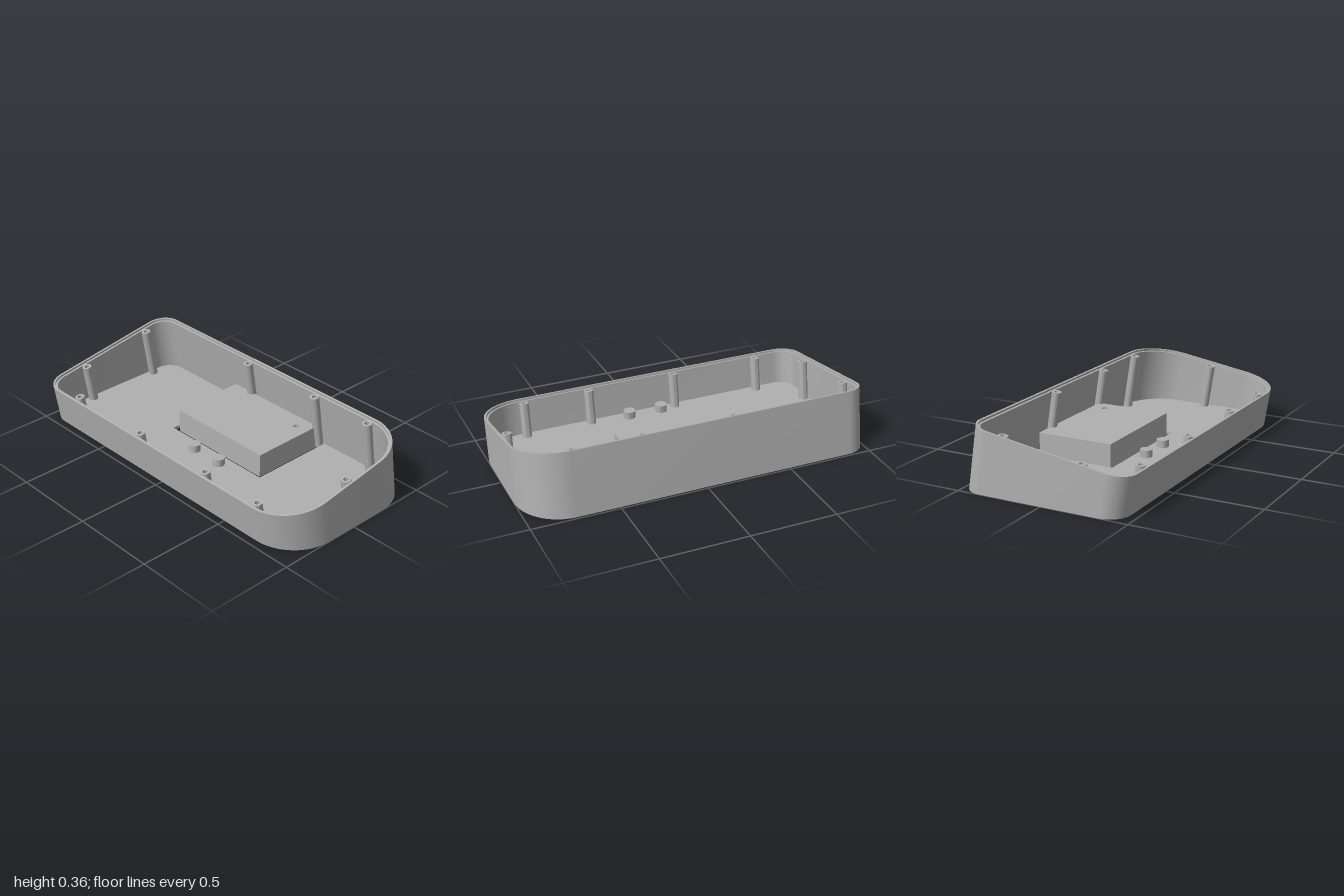
import * as THREE from 'three';
import { toCreasedNormals } from 'three/addons/utils/BufferGeometryUtils.js';

const TILT = Math.PI * 9 / 180, S = Math.sin(TILT), C = Math.cos(TILT);
const RIM_Y = 0.292, RIM_Z = 0.03;   // centre of the sloping rim plane

// Point in the tilted frame: x across, v along the rim plane, d along the wall axis
const tilted = (x, v, d) => new THREE.Vector3(x, RIM_Y - v * S + d * C, RIM_Z + v * C + d * S);

// Depth along the wall axis at which a point reaches height y
const depthAt = (v, y) => (y - RIM_Y + v * S) / C;

// Rounded outline: small radius on -x corners, large on +x corners
function outline(inset) {
  const pts = [], n = 16;
  const corners = [[1, 1, 0.26, 0], [-1, 1, 0.12, 1], [-1, -1, 0.12, 2], [1, -1, 0.26, 3]];
  for (const [sx, sv, r, q] of corners) {
    for (let i = 0; i <= n; i++) {
      const a = (q + i / n) * Math.PI / 2;
      pts.push([sx * (1 - r) + Math.cos(a) * (r - inset), sv * (0.465 - r) + Math.sin(a) * (r - inset)]);
    }
  }
  return pts;
}
const rimRing = (inset, d) => outline(inset).map(([x, v]) => tilted(x, v, d));
const levelRing = (inset, y) => outline(inset).map(([x, v]) => tilted(x, v, depthAt(v, y)));

// Skin successive closed rings
function loft(rings) {
  const pos = [];
  for (let k = 0; k < rings.length - 1; k++) {
    const a = rings[k], b = rings[k + 1], n = a.length;
    for (let i = 0; i < n; i++) {
      const j = (i + 1) % n;
      for (const p of [a[i], b[i], a[j], b[i], b[j], a[j]]) pos.push(p.x, p.y, p.z);
    }
  }
  const g = new THREE.BufferGeometry();
  g.setAttribute('position', new THREE.Float32BufferAttribute(pos, 3));
  return toCreasedNormals(g, 0.5);
}

// Horizontal plates; shapes are drawn with y = -z
function rect(Type, x0, x1, z0, z1) {
  return new Type([[x0, -z1], [x1, -z1], [x1, -z0], [x0, -z0]].map(p => new THREE.Vector2(...p)));
}
function circleHole(x, z, r) {
  const p = new THREE.Path();
  p.absarc(x, -z, r, 0, Math.PI * 2, true);
  return p;
}
function plate(shape, y, height) {
  const g = new THREE.ExtrudeGeometry(shape, { depth: height, bevelEnabled: false, curveSegments: 12 });
  return g.rotateX(-Math.PI / 2).translate(0, y, 0);
}
function lathe(profile) {
  return toCreasedNormals(new THREE.LatheGeometry(profile.map(p => new THREE.Vector2(...p)), 24), 0.6);
}

export function createModel() {
  const group = new THREE.Group();
  const grey = new THREE.MeshStandardMaterial({ color: 0xb0b0b0 });
  grey.name = 'grey plastic';
  const add = (name, geometry) => {
    const m = new THREE.Mesh(geometry, grey);
    m.name = name;
    group.add(m);
    return m;
  };

  // Wall with a stepped lip around the rim
  add('wall', loft([
    levelRing(0, 0), rimRing(0, 0), rimRing(0.012, 0), rimRing(0.012, -0.012),
    rimRing(0.024, -0.012), levelRing(0.024, 0), levelRing(0, 0),
  ]));

  // Floor with the block opening and four button bores
  const buttons = [];
  for (const x of [-0.1, 0.1]) for (const z of [0.125, 0.38]) buttons.push([x, z]);
  const floor = new THREE.Shape(levelRing(0.014, 0).map(p => new THREE.Vector2(p.x, -p.z)));
  floor.holes.push(rect(THREE.Path, -0.36, 0.355, -0.445, 0.055));
  for (const [x, z] of buttons) floor.holes.push(circleHole(x, z, 0.016));
  add('floor', plate(floor, 0, 0.02));

  // Hollow block, open underneath, standing in the opening
  const sides = rect(THREE.Shape, -0.335, 0.33, -0.42, 0.03);
  sides.holes.push(rect(THREE.Path, -0.32, 0.315, -0.405, 0.015));
  add('blockSides', plate(sides, 0, 0.125));
  const lid = rect(THREE.Shape, -0.335, 0.33, -0.42, 0.03);
  lid.holes.push(circleHole(0.25, -0.335, 0.018));
  add('blockTop', plate(lid, 0.125, 0.015));

  // Round bosses with blind bores from below
  for (const [x, z] of buttons) {
    add('boss', lathe([[0, 0.045], [0.016, 0.045], [0.016, 0.002], [0.035, 0.002], [0.035, 0.062], [0, 0.062]]))
      .position.set(x, 0, z);
  }

  // Screw posts, parallel to the tilted wall
  const posts = [
    [-0.2, -0.385], [0.33, -0.385], [0.72, -0.385], [-0.95, -0.24], [-0.95, 0.22],
    [0.945, 0.025], [-0.74, 0.435], [-0.2, 0.435], [0.33, 0.435], [0.72, 0.435],
  ];
  for (const [x, z] of posts) {
    const v = (z - RIM_Z) / C, r = 0.027, h = 0.014;
    const low = depthAt(v, 0.01) + 0.012;
    const post = add('screwPost', lathe([[0, low], [r, low], [r, 0], [h, 0], [h, -0.1], [0, -0.1]]));
    post.rotation.x = TILT;
    post.position.copy(tilted(x, v, -0.012));
  }
  return group;
}
